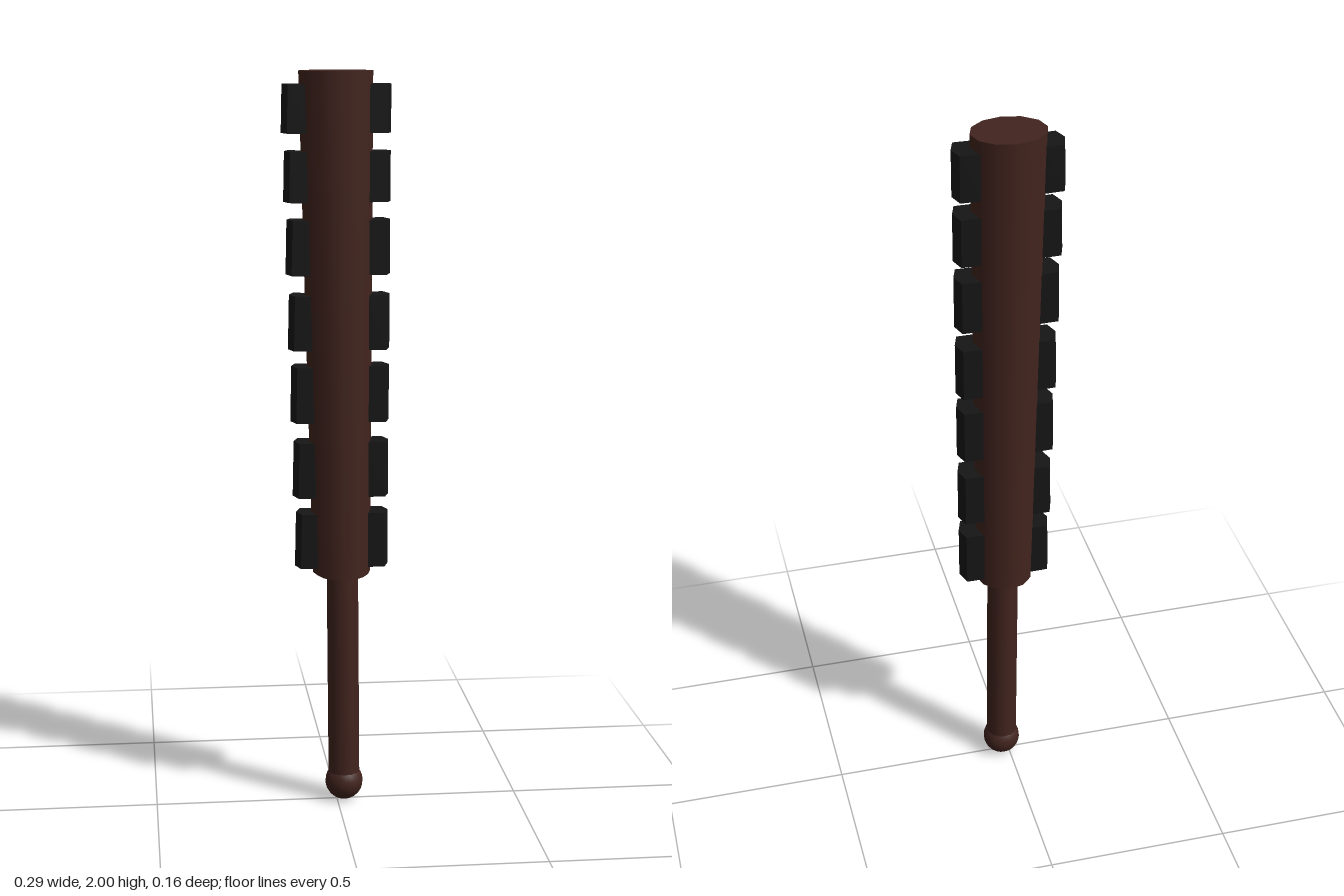
import * as THREE from 'three';

const wood = new THREE.MeshStandardMaterial({ color: 0x42241e });
const black = new THREE.MeshStandardMaterial({ color: 0x161616, flatShading: true });

const lerp = THREE.MathUtils.lerp;

// Upright shaft between two elliptical ends: { y, x (centre), rx, rz }
function shaft(name, bottom, top, sides, open = false) {
  const geo = new THREE.CylinderGeometry(1, 1, 1, sides, 1, open);
  const p = geo.attributes.position;
  for (let i = 0; i < p.count; i++) {
    const t = p.getY(i) + 0.5;
    p.setXYZ(i,
      lerp(bottom.x, top.x, t) + p.getX(i) * lerp(bottom.rx, top.rx, t),
      lerp(bottom.y, top.y, t),
      p.getZ(i) * lerp(bottom.rz, top.rz, t));
  }
  const mesh = new THREE.Mesh(geo, wood);
  mesh.name = name;
  return mesh;
}

// Blade block: a pentagonal prism with a shallow ridge facing outward along +x
function bladeGeometry(height) {
  const outline = new THREE.Shape([
    [-0.07, -0.04], [-0.013, -0.04], [0, 0], [-0.013, 0.04], [-0.07, 0.04],
  ].map(([x, y]) => new THREE.Vector2(x, y)));
  const geo = new THREE.ExtrudeGeometry(outline, { depth: height, bevelEnabled: false });
  geo.translate(0, 0, -height / 2);
  geo.rotateX(-Math.PI / 2);
  return geo;
}

export function createModel() {
  const model = new THREE.Group();
  model.name = 'edgedClub';

  // Broad upper body, flaring toward the top, with a chamfered underside
  const rim = { y: 0.655, x: 0.0125, rx: 0.078, rz: 0.079 };
  model.add(shaft('body', rim, { y: 2, x: -0.003, rx: 0.098, rz: 0.08 }, 12));
  model.add(shaft('bodyChamfer', { y: 0.645, x: 0.0145, rx: 0.062, rz: 0.064 }, rim, 12));

  // Grip and rounded pommel
  model.add(shaft('handle',
    { y: 0.05, x: 0.02, rx: 0.043, rz: 0.043 },
    { y: 0.67, x: 0.015, rx: 0.043, rz: 0.043 }, 16));
  const pommel = new THREE.Mesh(new THREE.SphereGeometry(0.052, 20, 14), wood);
  pommel.name = 'pommel';
  pommel.position.set(0.02, 0.053, 0);
  model.add(pommel);

  // Seven blades along each edge, a little shorter toward the top
  const centres = [0.75, 0.945, 1.15, 1.343, 1.542, 1.727, 1.903];
  const heights = [0.15, 0.15, 0.15, 0.146, 0.144, 0.132, 0.126];
  for (const side of [-1, 1]) {
    const row = new THREE.Group();
    row.name = side > 0 ? 'leftBlades' : 'rightBlades';
    centres.forEach((y, i) => {
      const t = i / (centres.length - 1);
      const blade = new THREE.Mesh(bladeGeometry(heights[i]), black);
      blade.name = 'blade';
      blade.position.set(side > 0 ? lerp(0.139, 0.143, t) : lerp(-0.113, -0.146, t),
        y, side > 0 ? -0.003 : 0);
      if (side < 0) blade.rotation.set(0, Math.PI, 0.022);
      row.add(blade);
    });
    model.add(row);
  }
  return model;
}
